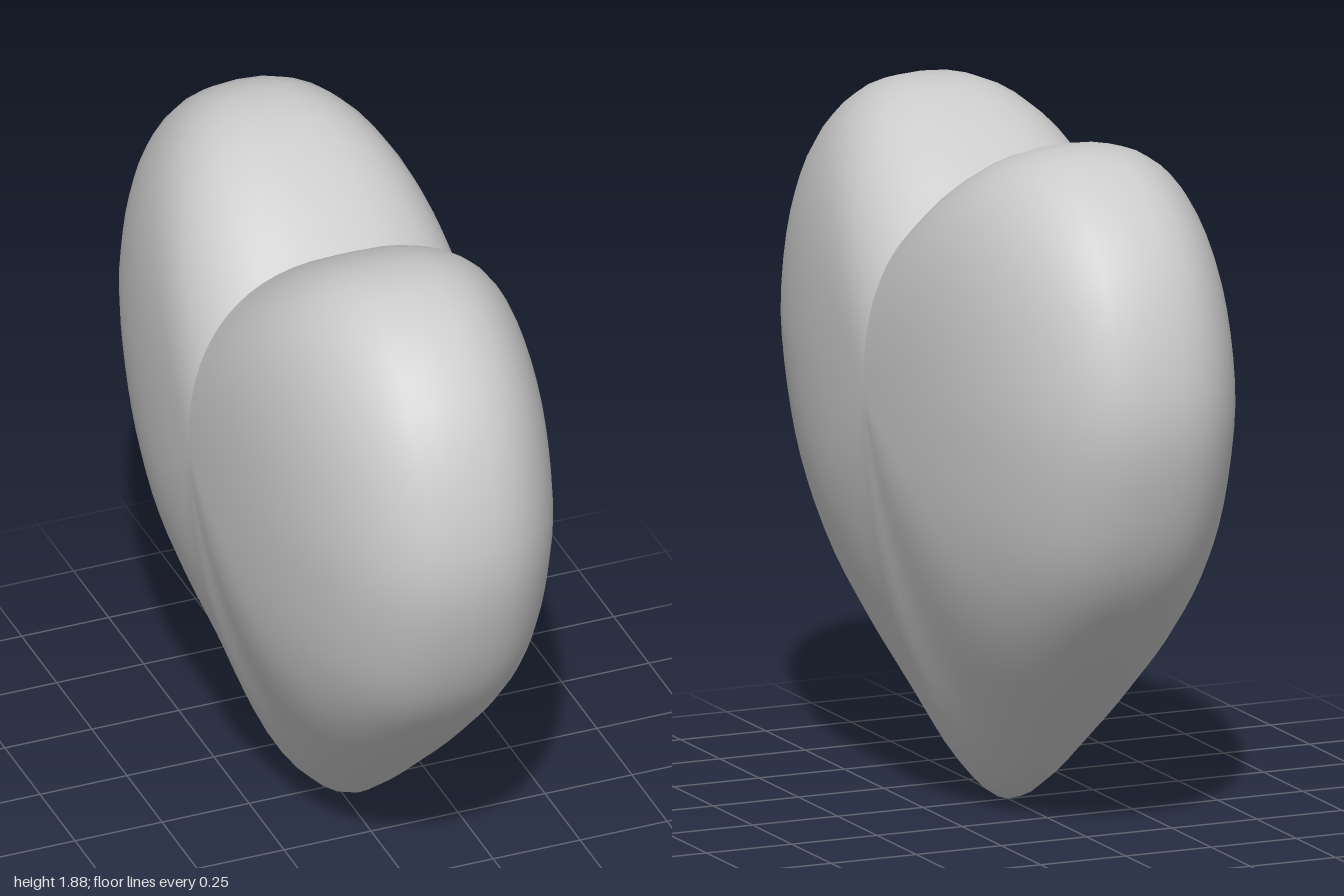
import * as THREE from 'three';

const HALF_THICK = 0.425; // half thickness along x
const CENTRE_Y = 1.16;    // height of the fullest point
const AROUND = 72, ACROSS = 28;

// Half outline as [z, y], from the notch over the lobe down to the tip
const HALF = [
  [0, 1.67], [0.2, 1.8], [0.4, 1.877], [0.58, 1.87], [0.75, 1.78], [0.88, 1.64],
  [0.965, 1.45], [1, 1.23], [0.955, 1.0], [0.85, 0.76], [0.65, 0.52], [0.31, 0.185],
  [0.12, 0.045], [0, 0],
];

function heartOutline() {
  const mirrored = HALF.slice(0, -1).reverse().map(([z, y]) => [-z, y]);
  const points = [...HALF, ...mirrored].map(([z, y]) => new THREE.Vector3(0, y, z));
  return new THREE.CatmullRomCurve3(points, false, 'centripetal').getSpacedPoints(AROUND);
}

// Shrinking copies of the outline are stacked along x; the cross-section is
// a superellipse, fuller over the lobes and leaner towards the tip.
function heartGeometry() {
  const outline = heartOutline();
  const positions = [], index = [];
  for (let j = 0; j <= ACROSS; j++) {
    const angle = (j / ACROSS - 0.5) * Math.PI;
    const c = Math.max(0, Math.cos(angle)), s = Math.sin(angle);
    for (const p of outline) {
      const power = 2 / (1.65 + 0.8 * THREE.MathUtils.smoothstep(p.y, 0, 0.6));
      const scale = j % ACROSS === 0 ? 0 : c ** power;
      positions.push(
        Math.sign(s) * Math.abs(s) ** power * HALF_THICK,
        CENTRE_Y + (p.y - CENTRE_Y) * scale,
        p.z * scale,
      );
    }
  }
  const row = AROUND + 1;
  for (let j = 0; j < ACROSS; j++) {
    for (let i = 0; i < AROUND; i++) {
      const a = j * row + i, b = a + row;
      if (j > 0) index.push(a, a + 1, b);
      if (j < ACROSS - 1) index.push(a + 1, b + 1, b);
      // the cap rows collapse to a point and need one triangle per step
    }
  }
  const geometry = new THREE.BufferGeometry();
  geometry.setAttribute('position', new THREE.Float32BufferAttribute(positions, 3));
  geometry.setIndex(index);
  // The seam lies in the notch, so the crease there stays sharp
  geometry.computeVertexNormals();
  for (let i = 0; i < row; i++) {
    geometry.attributes.normal.setXYZ(i, -1, 0, 0);
    geometry.attributes.normal.setXYZ(ACROSS * row + i, 1, 0, 0);
  }
  return geometry;
}

export function createModel() {
  const group = new THREE.Group();
  group.name = 'heart';
  const body = new THREE.Mesh(heartGeometry(), new THREE.MeshStandardMaterial({ color: 0xcccccc }));
  body.name = 'heartBody';
  group.add(body);
  return group;
}
